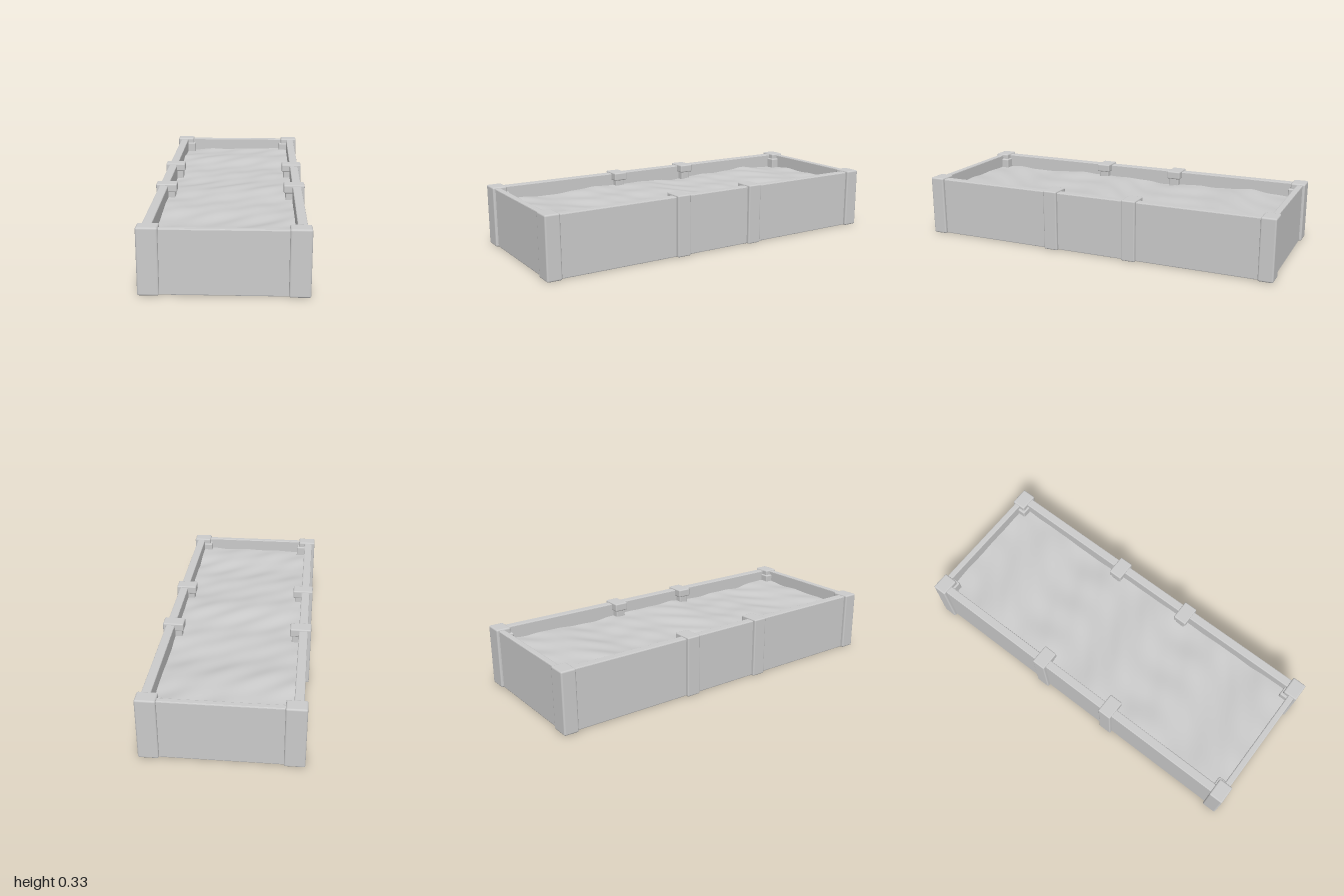
import * as THREE from 'three';
import { RoundedBoxGeometry } from 'three/addons/geometries/RoundedBoxGeometry.js';

const material = new THREE.MeshStandardMaterial({ color: 0xcccccc, roughness: 0.9 });

// Softly bevelled block given by its minimum and maximum corners
function block(name, min, max, radius = 0.007) {
  const size = max.map((v, i) => v - min[i]);
  const mesh = new THREE.Mesh(new RoundedBoxGeometry(...size, 2, radius), material);
  mesh.position.set(...max.map((v, i) => (v + min[i]) / 2));
  mesh.name = name;
  return mesh;
}

// Rectangular outline centred on the origin
function rectangle(path, hx, hz) {
  path.moveTo(-hx, -hz);
  path.lineTo(hx, -hz);
  path.lineTo(hx, hz);
  path.lineTo(-hx, hz);
  path.closePath();
  return path;
}

// Four walls as one bevelled frame, open at top and bottom
function createWalls() {
  const bevel = 0.005, top = 0.322;
  const shape = rectangle(new THREE.Shape(), 0.382 - bevel, 0.986 - bevel);
  shape.holes.push(rectangle(new THREE.Path(), 0.335 + bevel, 0.953 + bevel));
  const geometry = new THREE.ExtrudeGeometry(shape, {
    depth: top - 2 * bevel, bevelEnabled: true,
    bevelThickness: bevel, bevelSize: bevel, bevelSegments: 2,
  });
  geometry.rotateX(-Math.PI / 2);
  geometry.translate(0, bevel, 0);
  const mesh = new THREE.Mesh(geometry, material);
  mesh.name = 'walls';
  return mesh;
}

// Gently uneven height of the soil
function bumps(x, z) {
  return 0.006 * Math.sin(7 * z + 3 * x + 0.6)
    + 0.004 * Math.sin(17 * z - 8 * x + 2 * Math.sin(5 * x))
    + 0.0025 * Math.sin(29 * x + 11 * z + 2 * Math.sin(9 * z))
    + 0.0015 * Math.sin(41 * z + 23 * x);
}

// Soil bed: uneven above, faintly uneven and slightly recessed below
function createSoil() {
  const bottom = 0.012, top = 0.25;
  const geometry = new THREE.BoxGeometry(0.69, top - bottom, 1.92, 40, 1, 110);
  geometry.translate(0, (top + bottom) / 2, 0);
  const p = geometry.attributes.position;
  for (let i = 0; i < p.count; i++) {
    const x = p.getX(i), y = p.getY(i), z = p.getZ(i);
    const amount = y > 0.1 ? 1 : 0.25;
    p.setY(i, y + amount * bumps(x, z));
  }
  geometry.computeVertexNormals();
  const mesh = new THREE.Mesh(geometry, material);
  mesh.name = 'soil';
  return mesh;
}

// Corner post with a lower block filling the inside corner
function createCornerPost() {
  const group = new THREE.Group();
  group.add(block('cornerPostBody', [0.298, 0, 0.92], [0.4, 0.33, 1], 0.009));
  group.add(block('cornerPostInside', [0.285, 0.004, 0.91], [0.36, 0.3, 0.97]));
  return group;
}

// Middle post: outer strip, cap across the wall and narrower inner stem
function createMiddlePost() {
  const group = new THREE.Group();
  group.add(block('middlePostStrip', [0.345, 0, 0.19], [0.4, 0.33, 0.268]));
  group.add(block('middlePostCap', [0.288, 0.285, 0.19], [0.4, 0.33, 0.268]));
  group.add(block('middlePostStem', [0.298, 0.003, 0.201], [0.37, 0.3, 0.257]));
  return group;
}

export function createModel() {
  const model = new THREE.Group();
  model.name = 'planter';
  model.add(createWalls(), createSoil());

  // Every post is symmetric about its own planes, so turned copies serve all sides
  for (const sx of [-1, 1]) {
    for (const sz of [-1, 1]) {
      for (const [name, make] of [['cornerPost', createCornerPost], ['middlePost', createMiddlePost]]) {
        const post = make();
        post.name = name;
        post.children.forEach((part) => {
          part.position.x *= sx;
          part.position.z *= sz;
        });
        model.add(post);
      }
    }
  }
  return model;
}
